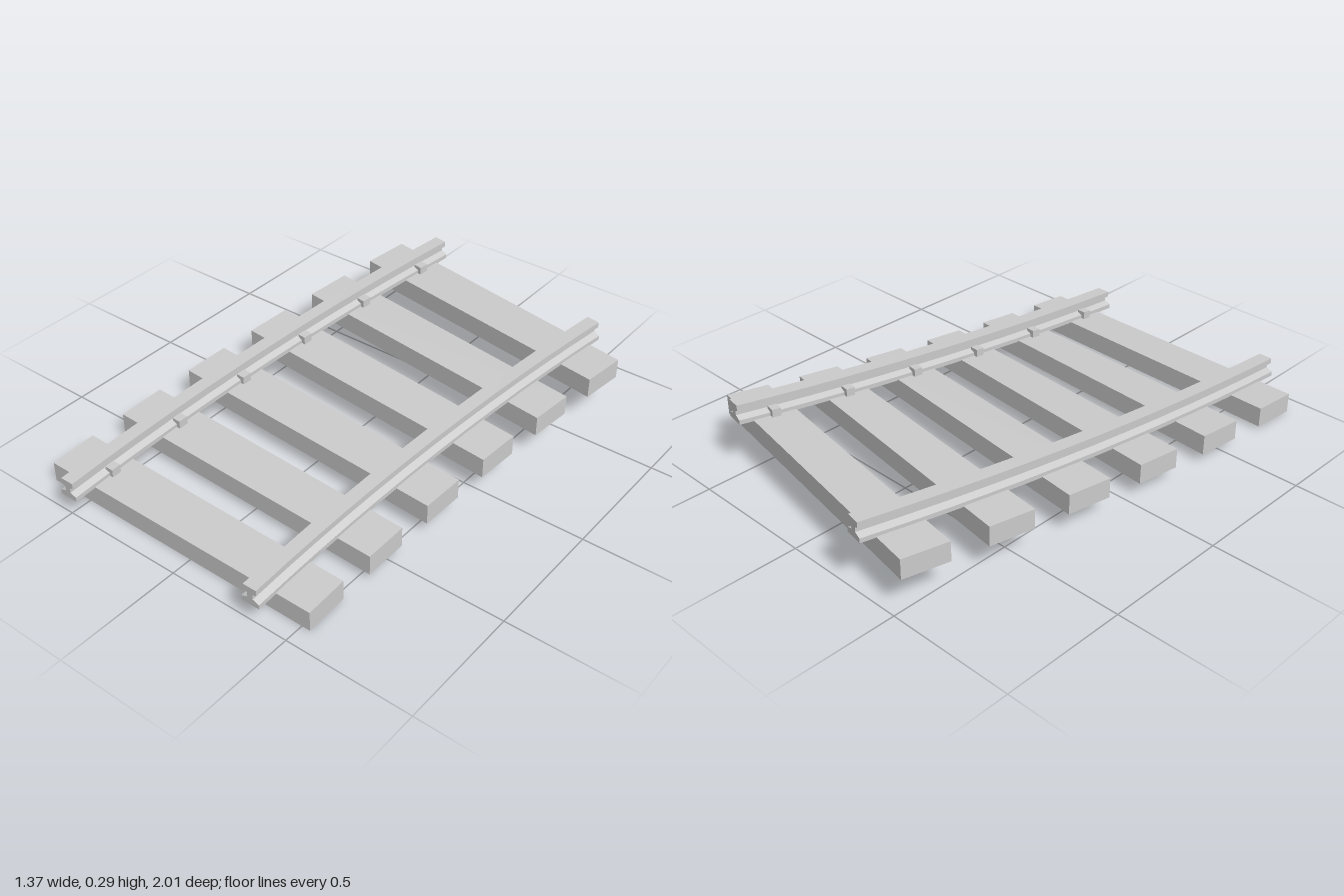
import * as THREE from 'three';

const CENTRE_X = 10.6;   // x of the curve's centre
const SWEEP = 0.181;     // total angle of the track
const RISE = 0.145;      // climb over the whole sweep
const MID_X = -0.075;    // track centre line at the front end
const HALF_GAUGE = 0.428;
const SLEEPERS = 6;

const material = new THREE.MeshStandardMaterial({ color: 0xcccccc, flatShading: true });

// Bends a straight part (its z is minus the angle along the track) onto the climbing curve
function bend(geometry) {
  const g = geometry.index ? geometry.toNonIndexed() : geometry;
  const p = g.attributes.position;
  for (let i = 0; i < p.count; i++) {
    const a = -p.getZ(i);
    const r = CENTRE_X - p.getX(i);
    p.setXYZ(i, CENTRE_X - r * Math.cos(a), p.getY(i) + RISE * a / SWEEP, 1 - r * Math.sin(a));
  }
  g.computeVertexNormals();
  return g;
}

function addPart(group, name, geometry) {
  const mesh = new THREE.Mesh(bend(geometry), material);
  mesh.name = name;
  group.add(mesh);
}

// Rail cross-section: wide foot, narrow web, broad head
function railShape(x) {
  const half = [
    [0.038, 0.07], [0.038, 0.088], [0.012, 0.098],
    [0.012, 0.117], [0.028, 0.123], [0.028, 0.145],
  ];
  const mirrored = half.map(([u, v]) => [-u, v]).reverse();
  return new THREE.Shape([...half, ...mirrored].map(([u, v]) => new THREE.Vector2(x + u, v)));
}

export function createModel() {
  const track = new THREE.Group();
  track.name = 'curvedTrack';

  // Sleepers
  for (let i = 0; i < SLEEPERS; i++) {
    const angle = 0.0163 + i * 0.0302;
    addPart(track, 'sleeper', new THREE.BoxGeometry(1.218, 0.08, 0.0168)
      .translate(MID_X, 0.034, -angle));

    // Clips on the inner side of both rails
    for (const side of [-1, 1]) {
      addPart(track, 'railClip', new THREE.BoxGeometry(0.036, 0.036, 0.0035)
        .translate(MID_X + side * (HALF_GAUGE - 0.036), 0.088, -angle));
    }
  }

  // Rails
  for (const side of [-1, 1]) {
    const rail = new THREE.ExtrudeGeometry(railShape(MID_X + side * HALF_GAUGE),
      { depth: SWEEP, steps: 12, bevelEnabled: false });
    addPart(track, side < 0 ? 'rightRail' : 'leftRail', rail.translate(0, 0, -SWEEP));
  }
  return track;
}
